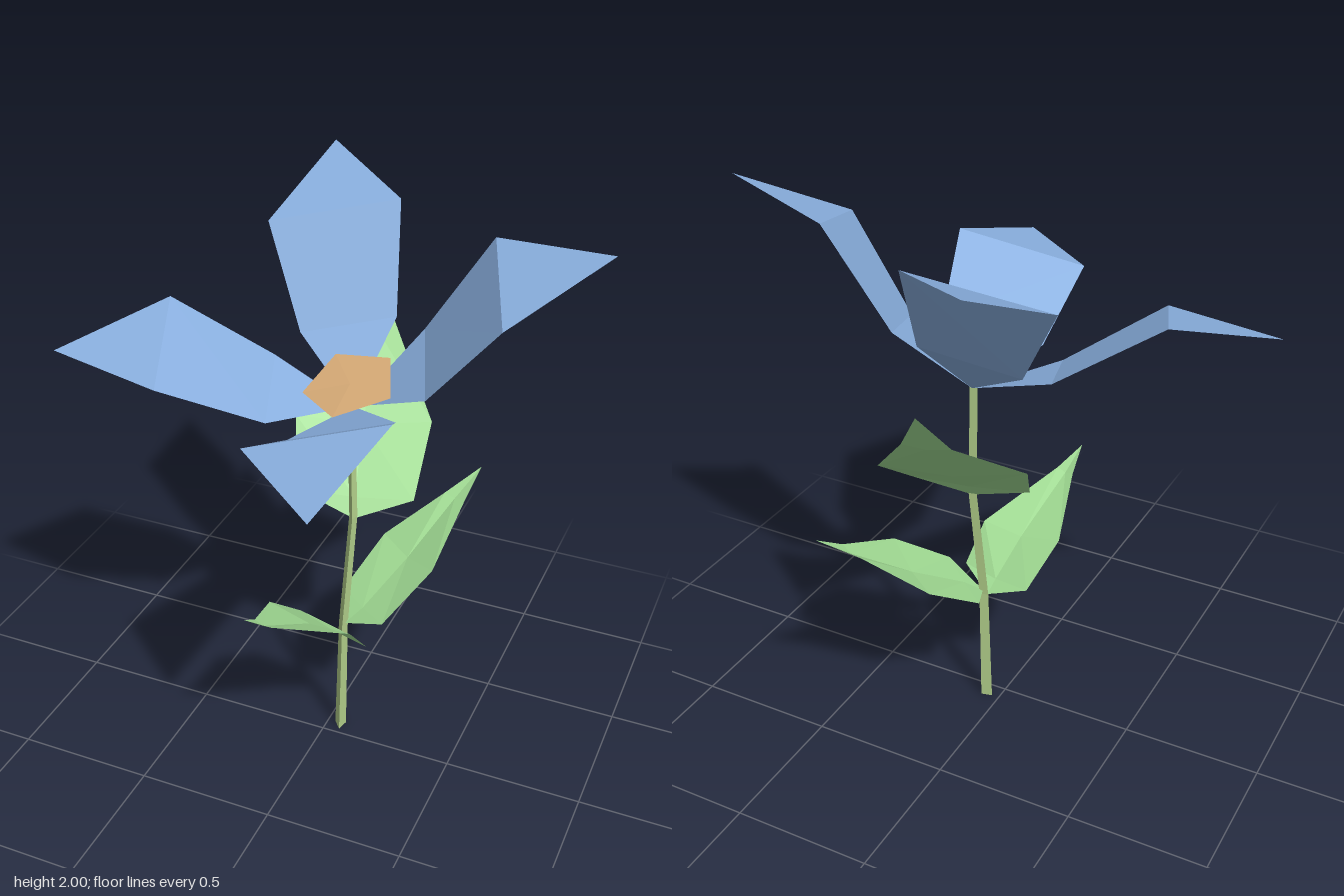
import * as THREE from 'three';

function material(name, color) {
  const m = new THREE.MeshStandardMaterial({ color, flatShading: true, side: THREE.DoubleSide });
  m.name = name;
  return m;
}

// Flat-faceted mesh skinned over rows of points; a row of one point is a tip.
function skin(name, rows, mat) {
  const tris = [];
  for (let r = 0; r < rows.length - 1; r++) {
    const a = rows[r], b = rows[r + 1];
    const n = Math.max(a.length, b.length);
    const at = (row, i) => row[Math.min(i, row.length - 1)];
    for (let i = 0; i < n - 1; i++) {
      if (a.length > 1) tris.push(at(a, i), at(a, i + 1), at(b, i));
      if (b.length > 1) tris.push(at(a, i + 1), at(b, i + 1), at(b, i));
    }
  }
  const geo = new THREE.BufferGeometry();
  geo.setAttribute('position', new THREE.Float32BufferAttribute(tris.flat(), 3));
  geo.computeVertexNormals();
  const mesh = new THREE.Mesh(geo, mat);
  mesh.name = name;
  return mesh;
}

// Adds a sunken midrib point between the two edges of a leaf.
function folded([l, r], dip) {
  const mid = l.map((v, i) => (v + r[i]) / 2);
  mid[1] -= dip;
  return [l, mid, r];
}

export function createModel() {
  const flower = new THREE.Group();
  flower.name = 'flower';
  const blue = material('petal blue', 0x8ab0e0);
  const green = material('leaf green', 0xa3de95);
  const stemGreen = material('stem green', 0xb2cf8a);
  const tan = material('centre tan', 0xd6aa76);
  const heart = [0.05, 1.34, -0.14];

  // Three-sided, slightly bent stem
  const section = [[0.008, 0.025], [0.018, -0.02], [-0.022, -0.01], [0.008, 0.025]];
  const path = [
    [0.05, 0, -0.045, 1], [0.053, 0.47, -0.057, 0.8],
    [0.068, 0.92, -0.105, 0.7], [0.045, 1.36, -0.13, 0.65],
  ];
  const stemRows = path.map(([x, y, z, s]) => section.map(([dx, dz]) => [x + dx * s, y, z + dz * s]));
  flower.add(skin('stem', [[path[0].slice(0, 3)], ...stemRows], stemGreen));

  // Petals: lower pair, shoulder pair, tip
  const petals = {
    frontPetal: [
      [[-0.04, 1.37, 0.2], [0.29, 1.45, 0.09]],
      [[-0.03, 1.53, 0.55], [0.4, 1.64, 0.42]],
      [[0.31, 1.52, 0.83]],
    ],
    rightPetal: [
      [[-0.26, 1.45, -0.19], [-0.15, 1.37, 0.13]],
      [[-0.59, 1.66, -0.07], [-0.43, 1.54, 0.35]],
      [[-0.86, 1.55, 0.25]],
    ],
    backPetal: [
      [[0.11, 1.58, -0.38], [-0.21, 1.5, -0.29]],
      [[0.04, 1.92, -0.58], [-0.4, 1.82, -0.45]],
      [[-0.31, 2, -0.84]],
    ],
    leftPetal: [
      [[0.35, 1.49, -0.01], [0.23, 1.58, -0.33]],
      [[0.6, 1.8, 0.04], [0.44, 1.92, -0.38]],
      [[0.86, 1.975, -0.25]],
    ],
  };
  for (const [name, rows] of Object.entries(petals)) flower.add(skin(name, [[heart], ...rows], blue));

  // Five-sided flower centre, a shallow tilted cup with a flat top
  const rim = [
    [0.05, 1.39, 0.04], [0.21, 1.44, -0.07], [0.14, 1.49, -0.25],
    [-0.06, 1.465, -0.25], [-0.11, 1.39, -0.08], [0.05, 1.39, 0.04],
  ];
  flower.add(skin('flowerCentre', [[heart], rim, [[0.046, 1.435, -0.122]]], tan));

  // Leaves: base, three pairs of edge points, tip
  const leaves = {
    upperBackLeaf: {
      base: [0.07, 0.91, -0.11], tip: [-0.12, 1.58, -0.78],
      pairs: [
        [[-0.15, 0.98, -0.11], [0.26, 0.98, -0.2]],
        [[-0.23, 1.17, -0.29], [0.23, 1.16, -0.45]],
        [[-0.15, 1.41, -0.63], [0, 1.41, -0.67]],
      ],
    },
    lowerFrontLeaf: {
      base: [0.05, 0.455, -0.045], tip: [-0.07, 0.84, 0.49],
      pairs: [
        [[0.19, 0.49, 0.05], [-0.1, 0.51, -0.03]],
        [[0.17, 0.62, 0.16], [-0.15, 0.645, 0.13]],
        [[-0.01, 0.77, 0.41], [-0.08, 0.77, 0.39]],
      ],
    },
    lowerLeftLeaf: {
      base: [0.06, 0.48, -0.06], tip: [0.38, 0.92, -0.61],
      pairs: [
        [[0, 0.53, -0.2], [0.22, 0.55, -0.02]],
        [[0.08, 0.67, -0.4], [0.34, 0.7, -0.2]],
        [[0.27, 0.83, -0.52], [0.36, 0.84, -0.49]],
      ],
    },
  };
  const dips = [0.01, 0.025, 0.01];
  for (const [name, { base, pairs, tip }] of Object.entries(leaves)) {
    const rows = pairs.map((pair, i) => folded(pair, dips[i]).reverse());
    const facingUp = rows.map((row) => row.slice().reverse());
    flower.add(skin(name, [[base], ...facingUp, [tip]], green));
  }
  return flower;
}
